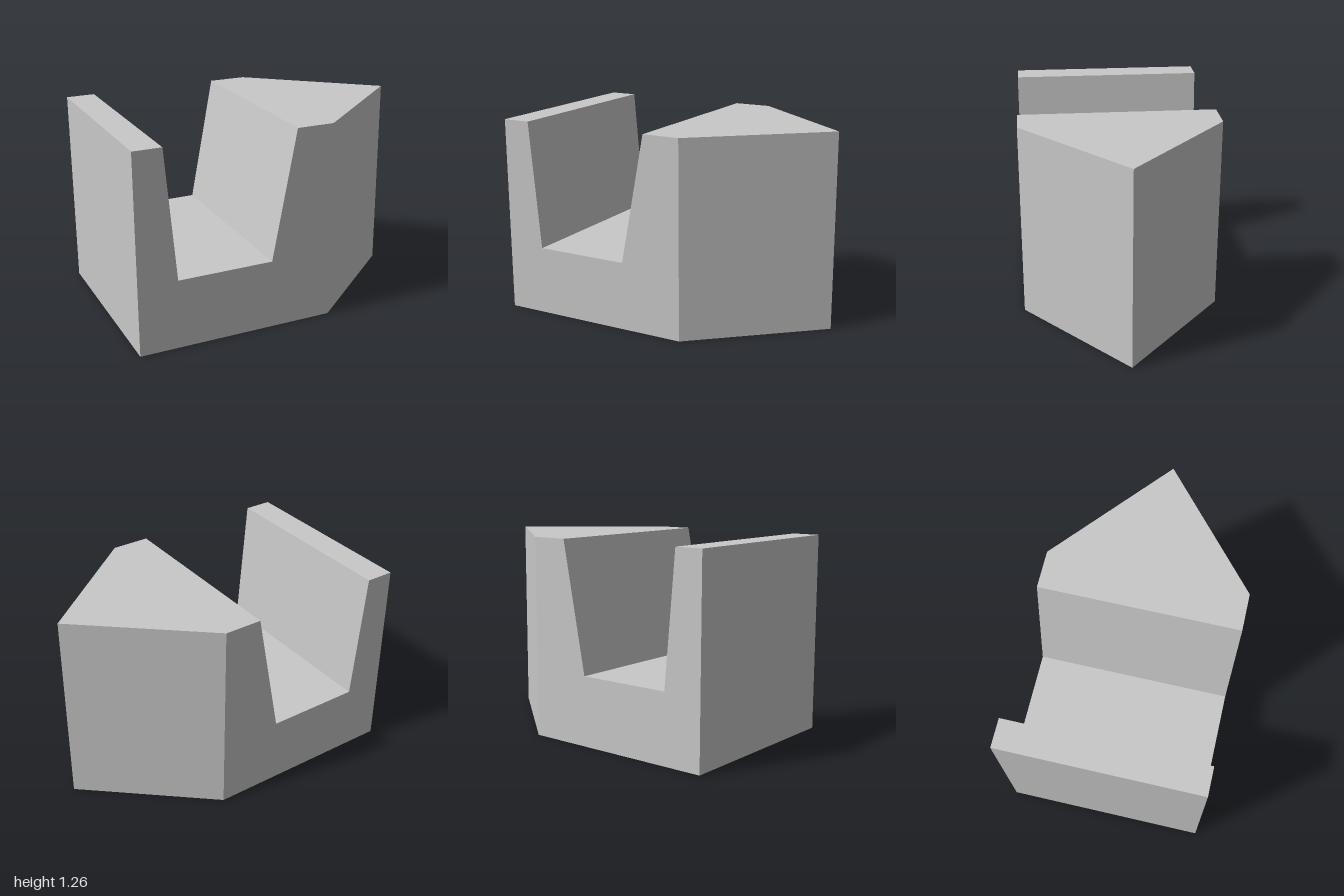
import * as THREE from 'three';

const HEIGHT = 1.26;
const HALF_DEPTH = 0.63;

// Extrude a closed outline of [x, y] points
function prism(points, depth) {
  const shape = new THREE.Shape(points.map(([x, y]) => new THREE.Vector2(x, y)));
  return new THREE.ExtrudeGeometry(shape, { depth, bevelEnabled: false });
}

export function createModel() {
  const model = new THREE.Group();
  model.name = 'notchedBlock';

  const grey = new THREE.MeshStandardMaterial({ color: 0xc8c8c8 });
  grey.name = 'plain grey';

  // Body: slotted profile running from front to back
  const bodyGeometry = prism([
    [-1, 0], [0.26, 0], [0.26, HEIGHT], [0.02, HEIGHT],
    [-0.14, 0.44], [-0.75, 0.44], [-0.82, HEIGHT], [-1, HEIGHT],
  ], HALF_DEPTH * 2);
  bodyGeometry.translate(0, 0, -HALF_DEPTH);
  const body = new THREE.Mesh(bodyGeometry, grey);
  body.name = 'slottedBody';
  model.add(body);

  // Nose: upright triangular wedge pointing to +x
  const noseGeometry = prism([[0.26, -HALF_DEPTH], [1, 0], [0.26, HALF_DEPTH]], HEIGHT);
  noseGeometry.rotateX(-Math.PI / 2);
  const nose = new THREE.Mesh(noseGeometry, grey);
  nose.name = 'wedgeNose';
  model.add(nose);

  return model;
}
